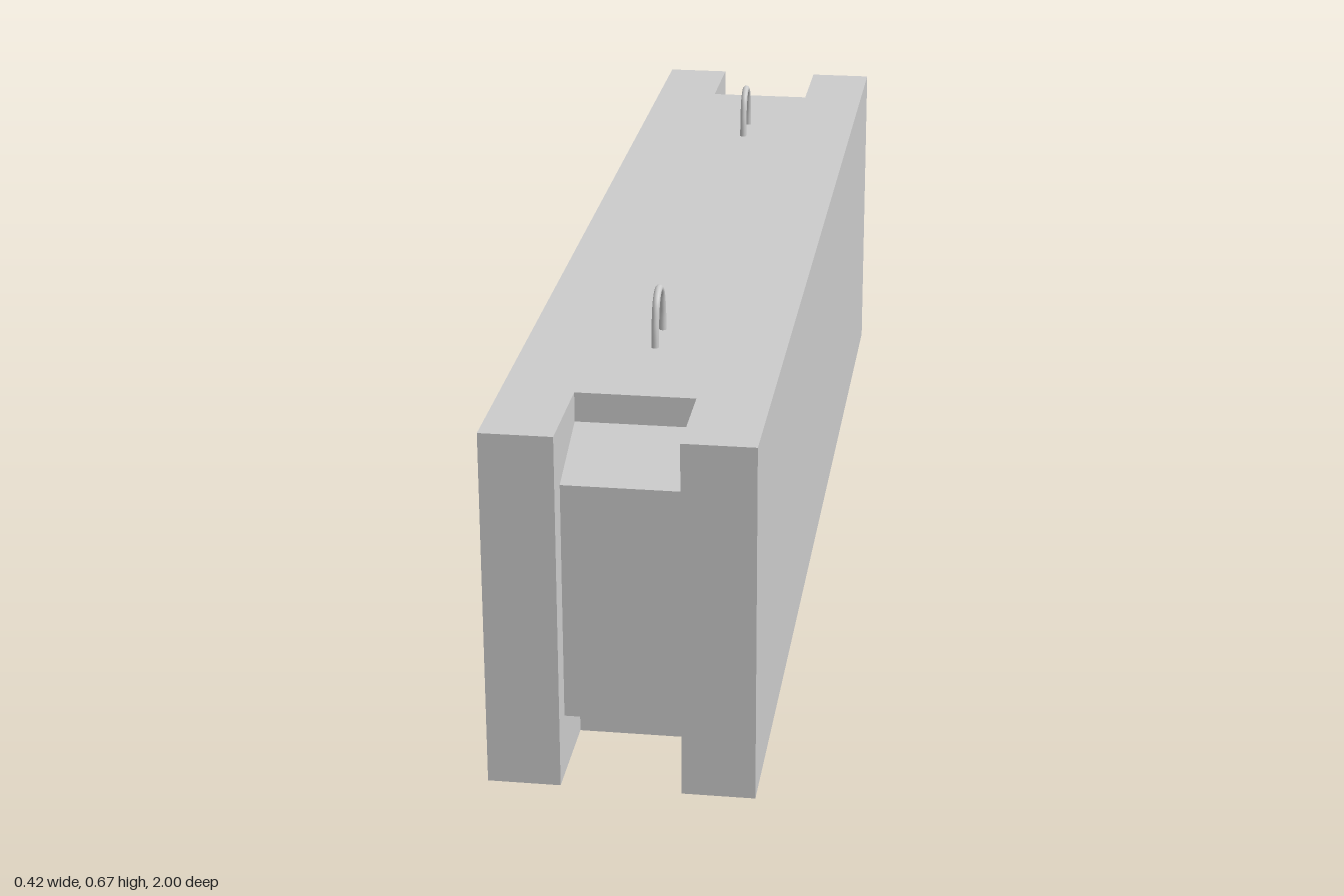
import * as THREE from 'three';

const H = 0.583, W = 0.208, SLOT = 0.094, SLOT_Z = 0.825;

function shapeOf(points) {
  return new THREE.Shape(points.map(([x, y]) => new THREE.Vector2(x, y)));
}

export function createModel() {
  const model = new THREE.Group();
  const material = new THREE.MeshStandardMaterial({ color: 0xcccccc });
  const add = (geometry, name, parent) => {
    const mesh = new THREE.Mesh(geometry, material);
    mesh.name = name;
    parent.add(mesh);
  };

  // H-shaped plan, extruded upwards
  const plan = shapeOf([
    [-W, -1], [-SLOT, -1], [-SLOT, -SLOT_Z], [SLOT, -SLOT_Z], [SLOT, -1], [W, -1],
    [W, 1], [SLOT, 1], [SLOT, SLOT_Z], [-SLOT, SLOT_Z], [-SLOT, 1], [-W, 1],
  ]);
  const block = new THREE.ExtrudeGeometry(plan, { depth: H, bevelEnabled: false });
  block.rotateX(-Math.PI / 2);
  add(block, 'block', model);

  // Tapered tongue filling the slot, profile in z and y
  const profile = shapeOf([[SLOT_Z, 0.05], [0.957, 0.098], [0.957, 0.487], [SLOT_Z, 0.535]]);
  const tongue = new THREE.ExtrudeGeometry(profile, { depth: 2 * SLOT, bevelEnabled: false });
  tongue.rotateY(-Math.PI / 2).translate(SLOT, 0, 0);

  // Lifting loop rising from the top face
  const half = [[0.041, 0.56], [0.041, H], [0.038, 0.62], [0.025, 0.654]];
  const path = [...half, [0, 0.667], ...half.map(([z, y]) => [-z, y]).reverse()];
  const curve = new THREE.CatmullRomCurve3(path.map(([z, y]) => new THREE.Vector3(0, y, z + 0.58)));
  const loop = new THREE.TubeGeometry(curve, 48, 0.006, 12);

  // Both ends are alike
  for (const [name, angle] of [['frontEnd', 0], ['backEnd', Math.PI]]) {
    const end = new THREE.Group();
    end.name = name;
    end.rotation.y = angle;
    add(tongue, 'tongue', end);
    add(loop, 'liftingLoop', end);
    model.add(end);
  }
  return model;
}
